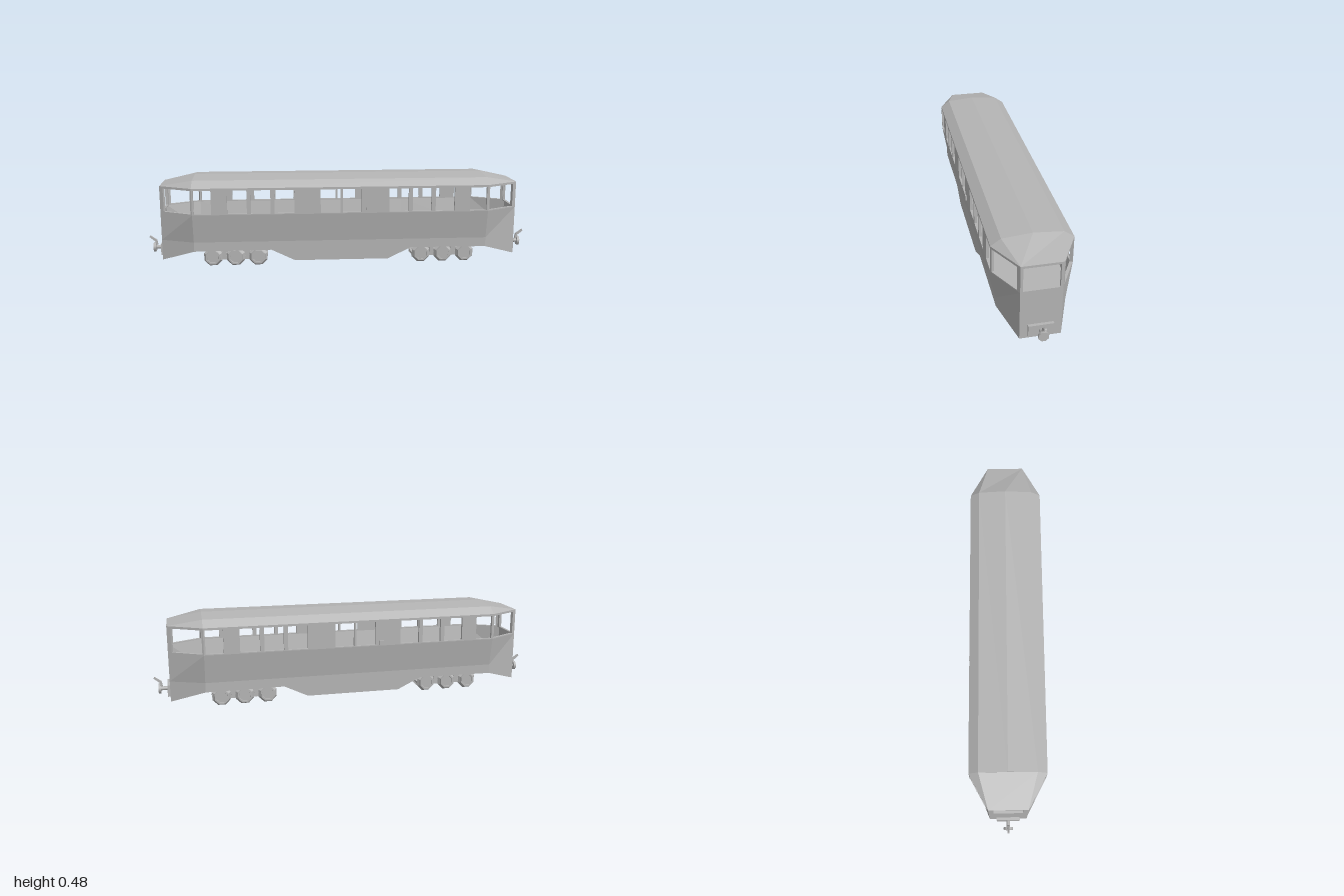
import * as THREE from 'three';

const grey = new THREE.MeshStandardMaterial({ color: 0xb4b4b4, side: THREE.DoubleSide });
grey.name = 'body grey';

function add(parent, name, geo, x = 0, y = 0, z = 0) {
  const mesh = new THREE.Mesh(geo, grey);
  mesh.name = name;
  mesh.position.set(x, y, z);
  parent.add(mesh);
  return mesh;
}
const box = (w, h, d) => new THREE.BoxGeometry(w, h, d);

// Flat-shaded surface from polygons whose corners run counter-clockwise from outside
function faces(polys) {
  const pos = [];
  for (const p of polys)
    for (let i = 1; i < p.length - 1; i++) pos.push(...p[0], ...p[i], ...p[i + 1]);
  const geo = new THREE.BufferGeometry();
  geo.setAttribute('position', new THREE.Float32BufferAttribute(pos, 3));
  geo.computeVertexNormals();
  return geo;
}

const END = 0.92, SH = 0.75, WIDE = 0.187, LOW = 0.163, NOSE = 0.094;
const SILL = 0.30, EAVE = 0.435, THICK = 0.014;

// Upright wall from plan point p to q, with windows [u0, u1] measured along it
function windowWall(p, q, windows) {
  const dx = q[0] - p[0], dz = q[1] - p[1], len = Math.hypot(dx, dz);
  const rect = (Type, u0, v0, u1, v1) => new Type([[u0, v0], [u1, v0], [u1, v1], [u0, v1]]
    .map(([u, v]) => new THREE.Vector2(u, v)));
  const shape = rect(THREE.Shape, 0, SILL, len, EAVE);
  for (const [a, b] of windows) shape.holes.push(rect(THREE.Path, a, 0.305, b, 0.424));
  const geo = new THREE.ExtrudeGeometry(shape, { depth: THICK, bevelEnabled: false });
  geo.translate(0, 0, -THICK);
  geo.rotateY(Math.atan2(-dz, dx));
  geo.translate(p[0], 0, p[1]);
  return geo;
}

function makeBody(root) {
  const body = new THREE.Group();
  body.name = 'body';
  root.add(body);

  // Lower shell: stations along one side as [x, underside height]
  const stations = [[-END, 0.05], [-SH, 0.107], [-0.36, 0.11], [-0.24, 0.052],
    [0.24, 0.052], [0.36, 0.11], [SH, 0.107], [END, 0.05]];
  const half = (x, w) => (Math.abs(x) > SH ? NOSE : w);
  const ring = [...stations.map(([x, y]) => [x, y, 1]),
    ...stations.slice().reverse().map(([x, y]) => [x, y, -1])];
  const levels = ([x, y, s]) => [[x, y, s * half(x, LOW)], [x, 0.155, s * half(x, LOW)],
    [x, SILL, s * half(x, WIDE)]];
  const skirt = [];
  ring.forEach((st, i) => {
    const a = levels(st), b = levels(ring[(i + 1) % ring.length]);
    for (let k = 0; k < 2; k++) skirt.push([a[k], b[k], b[k + 1], a[k + 1]]);
  });
  add(body, 'lowerSides', faces(skirt));

  const under = [];
  for (let i = 0; i < stations.length - 1; i++) {
    const [x0, y0] = stations[i], [x1, y1] = stations[i + 1];
    const w0 = half(x0, LOW), w1 = half(x1, LOW);
    under.push([[x0, y0, -w0], [x1, y1, -w1], [x1, y1, w1], [x0, y0, w0]]);
  }
  add(body, 'underside', faces(under));

  // Window band: eight walls around the plan
  const plan = [[-SH, WIDE], [SH, WIDE], [END, NOSE], [END, -NOSE],
    [SH, -WIDE], [-SH, -WIDE], [-END, -NOSE], [-END, NOSE]];
  const right = [[0.003, 0.1], [0.24, 0.34], [0.36, 0.457], [0.478, 0.576], [0.655, 0.742]];
  const left = [[-0.108, -0.008], ...right.slice(1).map(([a, b]) => [-b, -a])];
  const along = [...left, ...right];
  const sideFront = along.map(([a, b]) => [a + SH, b + SH]);
  const sideBack = along.map(([a, b]) => [SH - b, SH - a]);
  const c = Math.hypot(END - SH, WIDE - NOSE);
  const afterSide = [[0.045 * c, 0.89 * c]], beforeSide = [[0.11 * c, 0.955 * c]];
  const windows = [sideFront, afterSide, [[0.012, 0.176]], beforeSide,
    sideBack, afterSide, [[0.024, 0.164]], beforeSide];
  const names = ['frontSideWindows', 'cornerWindow', 'endWindow', 'cornerWindow',
    'backSideWindows', 'cornerWindow', 'endWindow', 'cornerWindow'];
  plan.forEach((p, i) => add(body, names[i], windowWall(p, plan[(i + 1) % 8], windows[i])));

  // Interior floor
  const floor = plan.map(([x, z]) => [x * 0.97, 0.2, z * 0.88]);
  add(body, 'floor', faces([floor]));

  // Faceted roof: shallow ridge, sloping eaves and hipped ends
  const polys = [];
  const R = (s) => [s * SH, 0.48, 0];
  const K = (s, t) => [s * SH, 0.468, t * 0.14];
  const E = (s, t) => [s * SH, EAVE, t * WIDE];
  const N = (s, t) => [s * END, EAVE, t * NOSE];
  const face = (flip, p) => polys.push(flip ? p.reverse() : p);
  for (const t of [1, -1]) {
    face(t < 0, [K(-1, t), K(1, t), R(1), R(-1)]);
    face(t < 0, [E(-1, t), E(1, t), K(1, t), K(-1, t)]);
    for (const s of [1, -1]) face(s * t < 0, [E(s, t), N(s, t), K(s, t)]);
  }
  for (const s of [1, -1])
    face(s < 0, [N(s, 1), N(s, -1), K(s, -1), R(s), K(s, 1)]);
  add(body, 'roof', faces(polys));

  // Door locks
  add(body, 'doorLock', box(0.022, 0.023, 0.008), 0.135, 0.317, 0.19);
  add(body, 'doorLock', box(0.022, 0.023, 0.008), -0.14, 0.317, -0.19);
}

// Eight-sided wheel with a flange on its inner side, axis along z
function wheelGeometry() {
  const k = 1 / Math.cos(Math.PI / 8);
  const profile = [[0, 0.048], [0.047, 0.048], [0.037, 0.06], [0.036, 0.071],
    [0.028, 0.071], [0.027, 0.066], [0, 0.066]].map(([r, z]) => new THREE.Vector2(r * k, z));
  const geo = new THREE.LatheGeometry(profile, 8, Math.PI / 8).toNonIndexed();
  geo.rotateX(Math.PI / 2);
  geo.computeVertexNormals();
  return geo;
}

function makeBogie(root, x) {
  const bogie = new THREE.Group();
  bogie.name = 'bogie';
  bogie.position.x = x;
  root.add(bogie);
  const wheel = wheelGeometry();
  for (const dx of [-0.118, 0, 0.118]) {
    for (const s of [0, Math.PI])
      add(bogie, 'wheel', wheel, dx, 0.047, 0).rotation.y = s;
    const axle = new THREE.CylinderGeometry(0.008, 0.008, 0.1, 8);
    axle.rotateX(Math.PI / 2);
    add(bogie, 'axle', axle, dx, 0.047, 0);
  }
  for (const s of [1, -1]) {
    add(bogie, 'sideFrame', box(0.33, 0.02, 0.01), 0, 0.04, s * 0.04);
    for (const dx of [-0.059, 0.059])
      add(bogie, 'framePost', box(0.02, 0.06, 0.01), dx, 0.08, s * 0.04);
  }
  for (const dx of [-0.16, -0.059, 0.059, 0.16])
    add(bogie, 'crossBar', box(0.012, 0.01, 0.08), dx, 0.044, 0);
  add(bogie, 'topFrame', box(0.26, 0.012, 0.1), 0, 0.105, 0);
}

function makeCoupler(root, turn) {
  const coupler = new THREE.Group();
  coupler.name = 'coupler';
  coupler.rotation.y = turn;
  root.add(coupler);
  add(coupler, 'mountPlate', box(0.014, 0.058, 0.116), 0.927, 0.094, 0);
  const disc = (r, len) => new THREE.CylinderGeometry(r, r, len, 8, 1, false, Math.PI / 8)
    .rotateZ(Math.PI / 2);
  add(coupler, 'shaft', disc(0.01, 0.045), 0.95, 0.094, 0);
  add(coupler, 'bufferDisc', disc(0.025, 0.012), 0.973, 0.094, 0);
  // Raised drawbar lever
  const side = new THREE.Shape([[0.957, 0.106], [0.967, 0.106], [0.972, 0.125], [1, 0.148],
    [0.996, 0.156], [0.962, 0.132]].map(([x, y]) => new THREE.Vector2(x, y)));
  const lever = new THREE.ExtrudeGeometry(side, { depth: 0.011, bevelEnabled: false });
  add(coupler, 'lever', lever, 0, 0, -0.0055);
}

export function createModel() {
  const root = new THREE.Group();
  root.name = 'railcar';
  makeBody(root);
  for (const x of [-0.55, 0.55]) makeBogie(root, x);
  for (const turn of [0, Math.PI]) makeCoupler(root, turn);
  return root;
}
